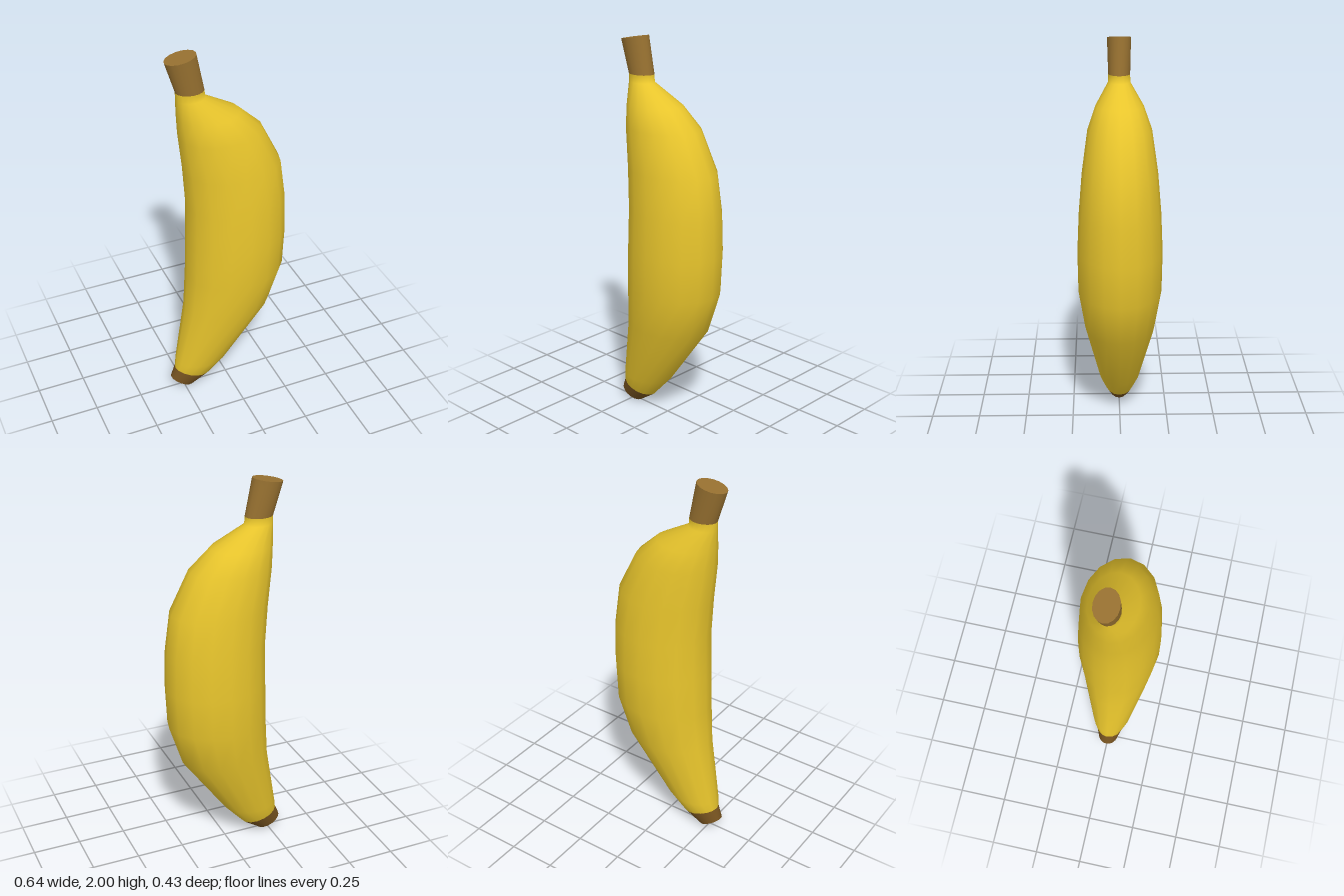
import * as THREE from 'three';

const SIDES = 16;

// Each ring: [inner x, inner y, outer x, outer y, half depth], listed bottom to top
const TIP = [
  [-0.32, 0.07, -0.2, 0.005, 0.052],
  [-0.295, 0.13, -0.105, 0.07, 0.076],
];
const PEEL = [
  TIP[1],
  [-0.288, 0.18, -0.005, 0.18, 0.107],
  [-0.23, 0.52, 0.237, 0.52, 0.18],
  [-0.215, 0.73, 0.307, 0.74, 0.212],
  [-0.209, 0.95, 0.316, 0.95, 0.215],
  [-0.205, 1.16, 0.311, 1.15, 0.206],
  [-0.219, 1.36, 0.284, 1.36, 0.189],
  [-0.24, 1.56, 0.182, 1.565, 0.16],
  [-0.246, 1.67, 0.07, 1.67, 0.12],
  [-0.25, 1.77, -0.105, 1.77, 0.056],
  [-0.25, 1.81, -0.108, 1.81, 0.055],
];
const STEM = [
  PEEL[PEEL.length - 1],
  [-0.3, 1.972, -0.145, 2.0, 0.06],
];

// Elliptical rings joined into a smooth skin
function loft(rings) {
  const pos = [], index = [];
  for (const [ax, ay, bx, by, depth] of rings) {
    for (let i = 0; i < SIDES; i++) {
      const a = (i / SIDES) * Math.PI * 2;
      const t = (1 + Math.cos(a)) / 2;
      pos.push(ax + (bx - ax) * t, ay + (by - ay) * t, depth * Math.sin(a));
    }
  }
  for (let r = 0; r < rings.length - 1; r++) {
    for (let i = 0; i < SIDES; i++) {
      const j = (i + 1) % SIDES;
      const a = r * SIDES + i, b = r * SIDES + j;
      index.push(a, a + SIDES, b, b, a + SIDES, b + SIDES);
    }
  }
  return finish(pos, index);
}

// Flat elliptical end closing a ring
function cap([ax, ay, bx, by, depth], up) {
  const pos = [(ax + bx) / 2, (ay + by) / 2, 0], index = [];
  for (let i = 0; i < SIDES; i++) {
    const a = (i / SIDES) * Math.PI * 2;
    const t = (1 + Math.cos(a)) / 2;
    pos.push(ax + (bx - ax) * t, ay + (by - ay) * t, depth * Math.sin(a));
    const p = i + 1, q = ((i + 1) % SIDES) + 1;
    index.push(0, up ? q : p, up ? p : q);
  }
  return finish(pos, index);
}

function finish(pos, index) {
  const g = new THREE.BufferGeometry();
  g.setAttribute('position', new THREE.Float32BufferAttribute(pos, 3));
  g.setIndex(index);
  g.computeVertexNormals();
  return g;
}

export function createModel() {
  const model = new THREE.Group();
  model.name = 'banana';
  const yellow = new THREE.MeshStandardMaterial({ color: 0xe8c52c });
  const brown = new THREE.MeshStandardMaterial({ color: 0x967030 });
  const darkBrown = new THREE.MeshStandardMaterial({ color: 0x75521f });

  const add = (name, geometry, material) => {
    const mesh = new THREE.Mesh(geometry, material);
    mesh.name = name;
    model.add(mesh);
  };

  // Curved fruit body
  add('peel', loft(PEEL), yellow);
  // Stem with its cut end
  add('stem', loft(STEM), brown);
  add('stemEnd', cap(STEM[1], true), brown);
  // Blossom tip at the bottom
  add('tip', loft(TIP), darkBrown);
  add('tipEnd', cap(TIP[0], false), darkBrown);

  return model;
}
